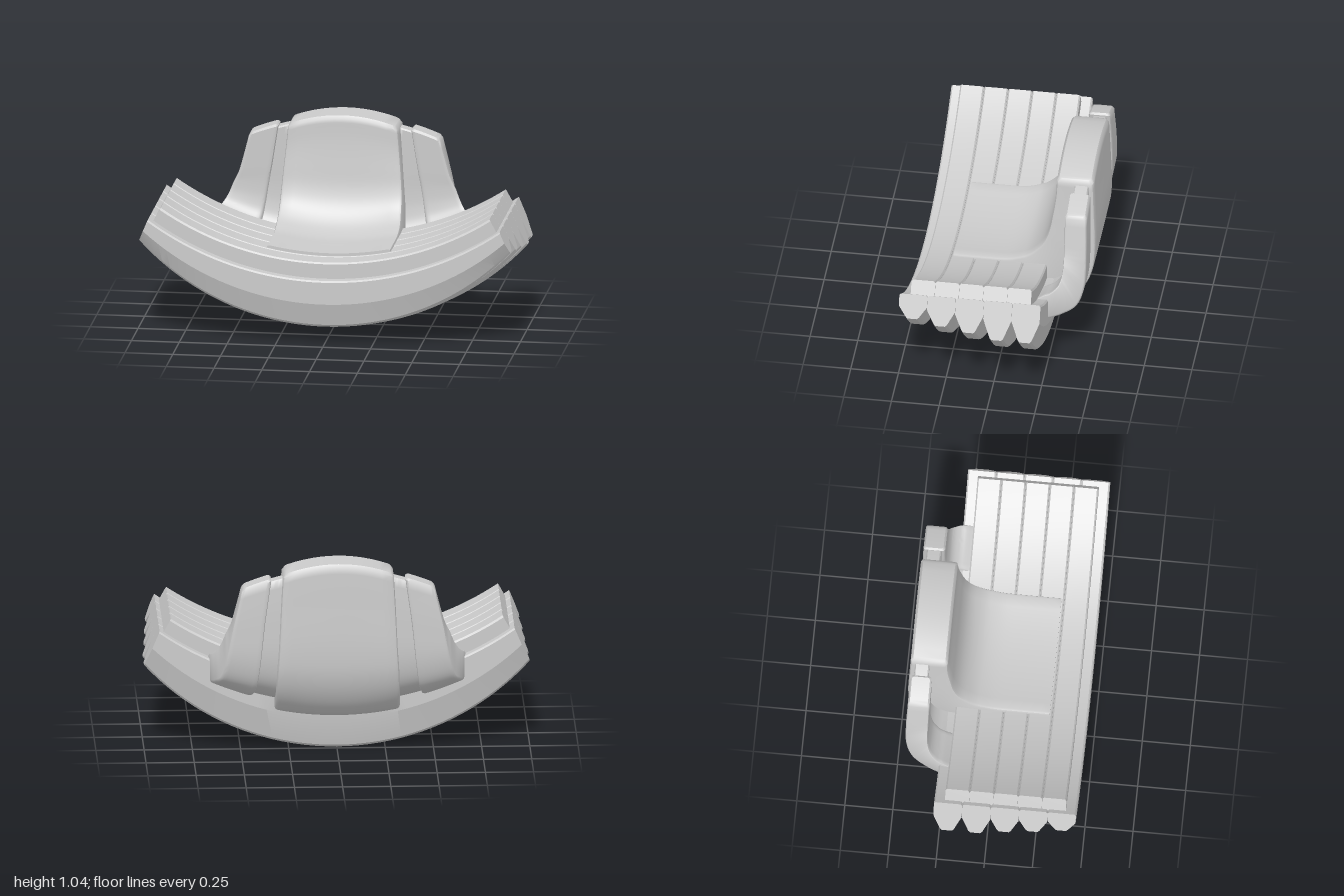
import * as THREE from 'three';
import { toCreasedNormals } from 'three/addons/utils/BufferGeometryUtils.js';

const material = new THREE.MeshStandardMaterial({ color: 0xcccccc });

// Skin a list of rings; ring point i faces point n-1-i, which also closes the ends.
function loft(name, rings, crease) {
  const n = rings[0].length, last = (rings.length - 1) * n;
  const index = [];
  const quad = (a, b, c, d) => index.push(a, b, c, a, c, d);
  for (let s = 0; s < rings.length - 1; s++) {
    for (let i = 0; i < n; i++) {
      const j = (i + 1) % n;
      quad(s * n + i, s * n + j, (s + 1) * n + j, (s + 1) * n + i);
    }
  }
  for (let i = 0; i < n / 2 - 1; i++) {
    quad(n - 1 - i, n - 2 - i, i + 1, i);
    quad(last + i, last + i + 1, last + n - 2 - i, last + n - 1 - i);
  }
  // turn the faces outwards
  const pts = rings.flat().map(p => new THREE.Vector3(...p));
  let volume = 0;
  for (let k = 0; k < index.length; k += 3) {
    volume += pts[index[k]].dot(pts[index[k + 1]].clone().cross(pts[index[k + 2]]));
  }
  if (volume < 0) index.reverse();
  const geo = new THREE.BufferGeometry().setFromPoints(pts);
  geo.setIndex(index);
  const mesh = new THREE.Mesh(toCreasedNormals(geo, crease), material);
  mesh.name = name;
  return mesh;
}

// Point on the circular arc through (0, c) and (x, y), t from -1 to 1.
function arcPoint(c, x, y, t) {
  const rise = y - c;
  const r = (x * x + rise * rise) / (2 * rise);
  const a = Math.asin(x / r) * t;
  return [r * Math.sin(a), c + r * (1 - Math.cos(a))];
}

// Curved bar across x; each layer is [halfDepth, centreY, endX, endY], top to bottom.
function archBar(name, z, layers) {
  const rings = [];
  for (let s = 0; s <= 40; s++) {
    const t = s / 20 - 1;
    const side = sign => layers.map(([h, c, x, y]) => [...arcPoint(c, x, y, t), z + sign * h]);
    rings.push([...side(1), ...side(-1).reverse()]);
  }
  return loft(name, rings, 0.25);
}

// Rounded slab ring between a front and a back point, from x0 to x1, bowed by bend * x^2.
function slabRing(f, b, x0, x1, bend, r) {
  const len = Math.hypot(b[0] - f[0], b[1] - f[1]);
  const dz = (b[0] - f[0]) / len, dy = (b[1] - f[1]) / len;
  const at = (x, p, d) => [x, p[1] + dy * d + bend * x * x, p[0] + dz * d];
  const xs = [];
  for (let i = 0; i <= 12; i++) xs.push(x0 + r + (x1 - x0 - 2 * r) * i / 12);
  const q = r * 0.3;
  return [
    at(x0, f, r), at(x0 + q, f, q), ...xs.map(x => at(x, f, 0)), at(x1 - q, f, q), at(x1, f, r),
    at(x1, b, -r), at(x1 - q, b, -q), ...xs.map(x => at(x, b, 0)).reverse(), at(x0 + q, b, -q), at(x0, b, -r),
  ];
}

// Slab swept through stations [frontZ, frontY, backZ, backY, x0, x1, bend].
function slab(name, stations, r) {
  const curve = (a, b, c) => new THREE.CatmullRomCurve3(
    stations.map(s => new THREE.Vector3(s[a], s[b], c === undefined ? 0 : s[c])));
  const front = curve(0, 1, 4), back = curve(2, 3, 5), bow = curve(6, 6);
  const steps = (stations.length - 1) * 5;
  const rings = [];
  for (let i = 0; i <= steps; i++) {
    const f = front.getPoint(i / steps), b = back.getPoint(i / steps);
    rings.push(slabRing([f.x, f.y], [b.x, b.y], f.z, b.z, bow.getPoint(i / steps).x, r));
  }
  // softened top edge
  const [fz, fy, bz, by, x0, x1, bend] = stations[stations.length - 1];
  rings.push(slabRing([fz - r * 0.8, fy + r], [bz + r * 0.8, by + r], x0 + r * 0.8, x1 - r * 0.8, bend, r));
  return slab.finish(name, rings);
}
slab.finish = (name, rings) => loft(name, rings, 0.7);

export function createModel() {
  const group = new THREE.Group();
  group.name = 'rockingSeat';

  // Five curved rocker slats with wedge-shaped undersides, front to back
  const bottomY = [0.09, 0.055, 0.03, 0, 0];
  const bottomEnd = [0.52, 0.495, 0.475, 0.45, 0.45];
  const creaseY = [0.22, 0.2, 0.18, 0.165, 0.165];
  const creaseEnd = [0.58, 0.57, 0.56, 0.55, 0.55];
  const endX = y => 0.92 + (0.64 - y) * 0.42;
  for (let i = 0; i < 5; i++) {
    const h = 0.0735;
    group.add(archBar('rockerSlat' + (i + 1), 0.396 - i * 0.148, [
      [h - 0.008, 0.345, 0.92, 0.64],
      [h, 0.337, endX(0.632), 0.632],
      [h, creaseY[i], endX(creaseEnd[i]), creaseEnd[i]],
      [0.036, bottomY[i] + 0.012, endX(bottomEnd[i] + 0.01), bottomEnd[i] + 0.01],
      [0.026, bottomY[i], endX(bottomEnd[i]), bottomEnd[i]],
    ]));
  }

  // Five thinner planks lying on the slats
  for (let i = 0; i < 5; i++) {
    group.add(archBar('deckPlank' + (i + 1), 0.352 - i * 0.126, [
      [0.055, 0.43, 0.86, 0.692],
      [0.0625, 0.422, 0.865, 0.683],
      [0.0625, 0.33, 0.902, 0.615],
    ]));
  }

  // Seat sweeping up into the backrest
  const seat = [
    [0.275, 0.445, 0.275, 0.3, 0.325, 0.33],
    [0.1, 0.445, 0.1, 0.25, 0.325, 0.33],
    [-0.02, 0.45, -0.1, 0.2, 0.325, 0.33],
    [-0.1, 0.475, -0.27, 0.182, 0.325, 0.33],
    [-0.155, 0.52, -0.35, 0.235, 0.322, 0.3],
    [-0.195, 0.58, -0.41, 0.32, 0.32, 0.2],
    [-0.222, 0.66, -0.45, 0.43, 0.316, 0.1],
    [-0.24, 0.78, -0.464, 0.57, 0.308, -0.15],
    [-0.255, 0.92, -0.458, 0.85, 0.297, -0.5],
    [-0.26, 1.025, -0.452, 1.025, 0.288, -0.65],
  ];
  group.add(slab('seatAndBackrest', seat.map(([a, b, c, d, w, k]) => [a, b, c, d, -w, w, k]), 0.016));

  // Side wings, and the recessed strips joining them to the backrest
  const wing = [
    [-0.2, 0.34, -0.2, 0.21, 0.45, 0.67, 0.33],
    [-0.27, 0.38, -0.27, 0.225, 0.445, 0.66, 0.33],
    [-0.31, 0.43, -0.35, 0.27, 0.43, 0.635, 0.3],
    [-0.33, 0.52, -0.41, 0.35, 0.417, 0.608, 0.2],
    [-0.337, 0.62, -0.445, 0.48, 0.403, 0.583, 0.1],
    [-0.336, 0.78, -0.453, 0.75, 0.38, 0.55, -0.2],
    [-0.334, 1.005, -0.447, 1.005, 0.348, 0.502, -0.42],
  ];
  const strip = wing.map(([fz, fy, bz, by, x0, , k], i) =>
    [fz - 0.02, fy - 0.015, bz + 0.018, by + (i < 6 ? 0.015 : -0.015), 0.25, x0 + 0.03, k]);
  const mirror = s => s.map(([a, b, c, d, x0, x1, k]) => [a, b, c, d, -x1, -x0, k]);
  group.add(slab('leftWing', wing, 0.012), slab('rightWing', mirror(wing), 0.012));
  group.add(slab('leftWingStrip', strip, 0.008), slab('rightWingStrip', mirror(strip), 0.008));

  return group;
}
